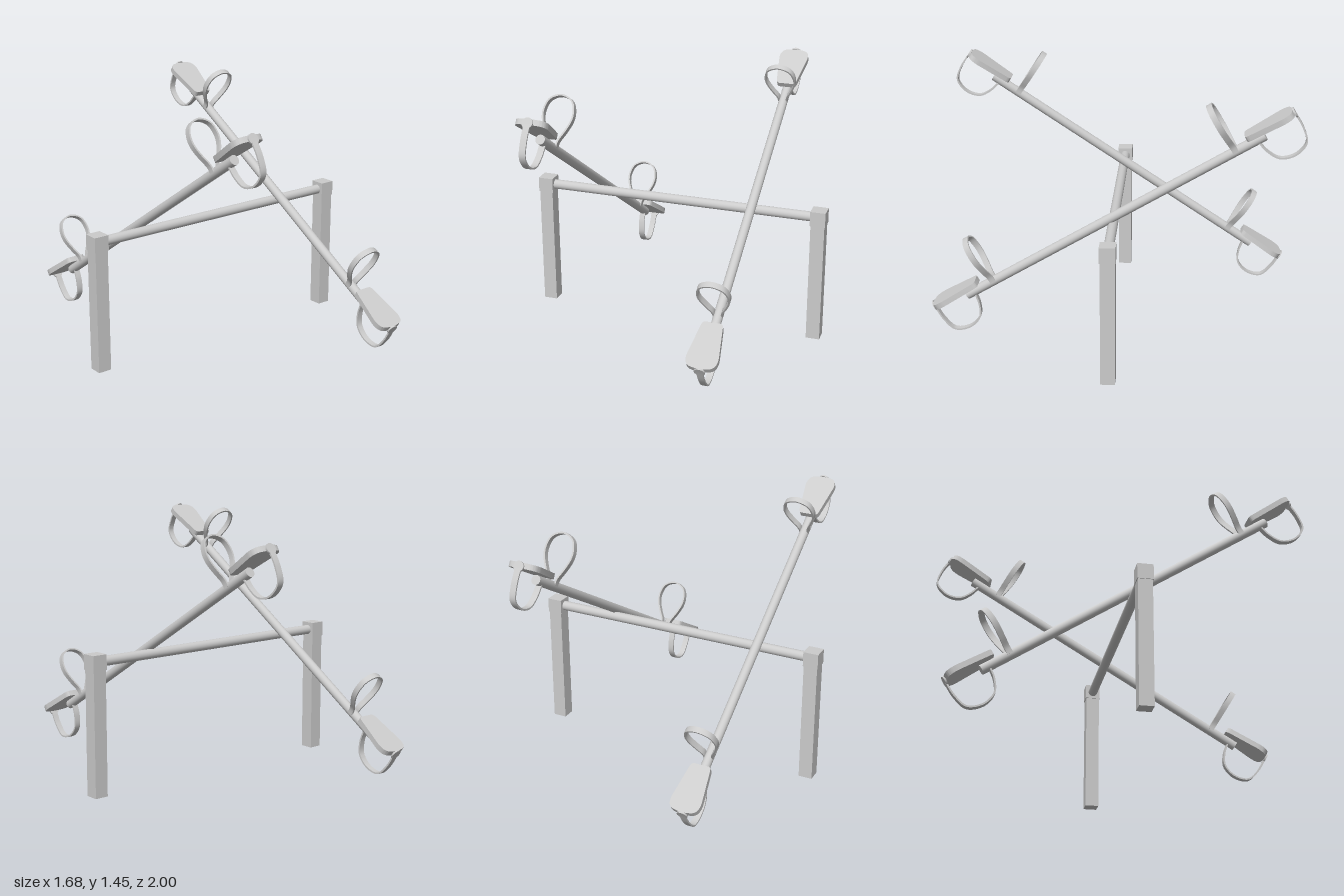
import * as THREE from 'three';
import { toCreasedNormals } from 'three/addons/utils/BufferGeometryUtils.js';

const PIVOT_Z = 0.008;
const material = new THREE.MeshStandardMaterial({ color: 0xcccccc });

function add(parent, name, geometry, x = 0, y = 0, z = 0) {
  const mesh = new THREE.Mesh(geometry, material);
  mesh.name = name;
  mesh.position.set(x, y, z);
  parent.add(mesh);
  return mesh;
}

// Extrudes a shape, centred on its depth
function slab(shape, depth) {
  const g = new THREE.ExtrudeGeometry(shape, { depth, bevelEnabled: false, curveSegments: 10 });
  g.translate(0, 0, -depth / 2);
  return toCreasedNormals(g, 0.6);
}

// Flat metal band bent along a smooth line through the given points
function bentBand(points, width, thickness) {
  const curve = new THREE.CatmullRomCurve3(points.map(([a, b]) => new THREE.Vector3(a, b, 0)));
  const n = 48, outer = [], inner = [];
  for (let i = 0; i <= n; i++) {
    const p = curve.getPointAt(i / n), t = curve.getTangentAt(i / n);
    const dx = -t.y * thickness / 2, dy = t.x * thickness / 2;
    outer.push(new THREE.Vector2(p.x + dx, p.y + dy));
    inner.push(new THREE.Vector2(p.x - dx, p.y - dy));
  }
  return slab(new THREE.Shape([...outer, ...inner.reverse()]), width);
}

// Seat outline: narrow towards the pivot, wide and rounded at the outside
function seatGeometry() {
  const s = new THREE.Shape();
  s.moveTo(-0.042, 0.83);
  s.lineTo(0.042, 0.83);
  s.quadraticCurveTo(0.053, 0.832, 0.058, 0.85);
  s.lineTo(0.084, 1.03);
  s.quadraticCurveTo(0.088, 1.085, 0.055, 1.097);
  s.quadraticCurveTo(0, 1.112, -0.055, 1.097);
  s.quadraticCurveTo(-0.088, 1.085, -0.084, 1.03);
  s.lineTo(-0.058, 0.85);
  s.quadraticCurveTo(-0.053, 0.832, -0.042, 0.83);
  return slab(s, 0.03).rotateX(Math.PI / 2);
}

// Teardrop hand loop, standing across the beam
const handleGeometry = () => bentBand([
  [0.022, 0.0], [0.026, 0.035], [0.055, 0.09], [0.08, 0.15], [0.083, 0.2], [0.062, 0.255],
  [0, 0.282],
  [-0.062, 0.255], [-0.083, 0.2], [-0.08, 0.15], [-0.055, 0.09], [-0.026, 0.035], [-0.022, 0.0],
], 0.032, 0.009);

// Bumper loop hanging from the beam end to the seat tip
const bumperGeometry = () => bentBand([
  [0.875, -0.015], [0.89, -0.08], [0.928, -0.142], [1.005, -0.166],
  [1.085, -0.137], [1.109, -0.06], [1.109, 0.04],
], 0.034, 0.009).rotateY(-Math.PI / 2);

function seesaw(x, y, z, tilt) {
  const group = new THREE.Group();
  group.name = 'seesaw';
  group.position.set(x, y, z);
  group.rotation.x = tilt;
  add(group, 'beam', new THREE.CylinderGeometry(0.026, 0.026, 1.84, 24).rotateX(Math.PI / 2));
  for (const turn of [0, Math.PI]) {
    const end = new THREE.Group();
    end.name = 'seatEnd';
    end.rotation.y = turn;
    add(end, 'seat', seatGeometry(), 0, 0.042, 0);
    add(end, 'handle', handleGeometry(), 0, 0, 0.748);
    add(end, 'bumper', bumperGeometry());
    // Round fixing plate on the seat tip
    add(end, 'bumperPlate', new THREE.CylinderGeometry(0.029, 0.029, 0.009, 24).rotateX(Math.PI / 2),
      0, 0.034, 1.109);
    group.add(end);
  }
  return group;
}

export function createModel() {
  const model = new THREE.Group();
  model.name = 'doubleSeesaw';

  // Supporting frame
  for (const side of [-1, 1]) {
    add(model, 'post', new THREE.BoxGeometry(0.077, 0.69, 0.077), side * 0.8, 0.345, PIVOT_Z);
    add(model, 'postCap', new THREE.BoxGeometry(0.085, 0.084, 0.085), side * 0.8, 0.729, PIVOT_Z);
  }
  add(model, 'crossbar', new THREE.CylinderGeometry(0.027, 0.027, 1.56, 24).rotateZ(Math.PI / 2),
    0, 0.727, PIVOT_Z);

  // Two beams tipped opposite ways
  model.add(seesaw(0.427, 0.775, 0.012, 0.537));
  model.add(seesaw(-0.489, 0.783, -0.002, -0.585));
  return model;
}
